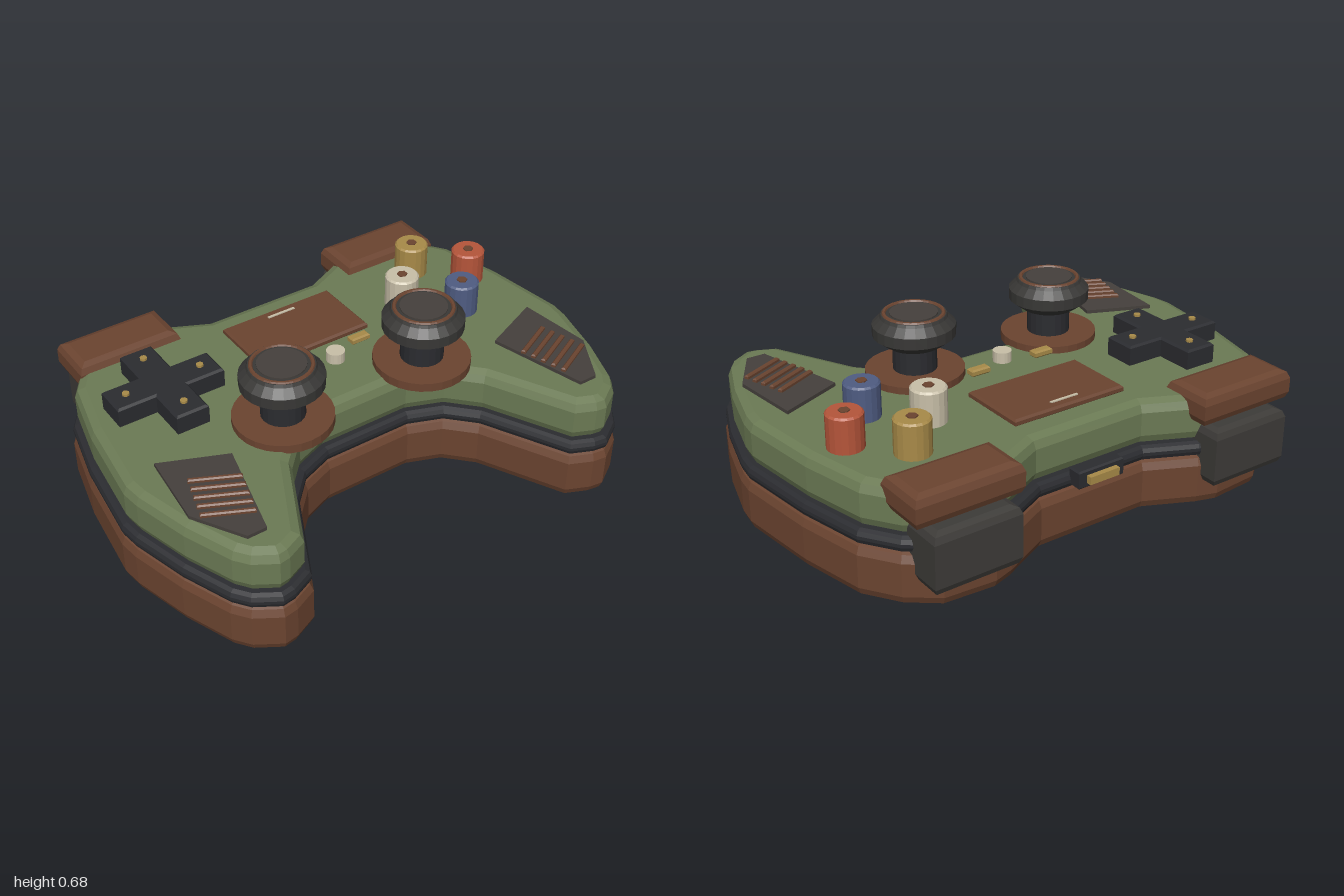
import * as THREE from 'three';

const mat = (color) => new THREE.MeshStandardMaterial({ color, flatShading: true });
const M = {
  green: mat(0x6b7a54), brown: mat(0x6b4430), dark: mat(0x2b2c30), grey: mat(0x45403c), cap: mat(0x393836),
  cream: mat(0xc8bfa8), red: mat(0xb5553a), blue: mat(0x4f5c82), gold: mat(0xa88a48), trigger: mat(0x3d3b38),
};

// Right half of the body outline as [x, z], from back centre to front centre
const HALF = [
  [0.23, -0.575], [0.42, -0.665], [0.5, -0.69], [0.7, -0.675], [0.81, -0.59], [0.9, -0.46], [0.96, -0.2],
  [1.0, 0.13], [0.99, 0.21], [0.93, 0.43], [0.855, 0.62], [0.81, 0.68], [0.715, 0.738], [0.66, 0.73],
  [0.57, 0.69], [0.405, 0.36], [0.31, 0.26], [0.18, 0.21],
];

export function createModel() {
  const model = new THREE.Group();
  model.name = 'gameController';

  const add = (name, geometry, material, x = 0, y = 0, z = 0, parent = model) => {
    const mesh = new THREE.Mesh(geometry, material);
    mesh.name = name;
    mesh.position.set(x, y, z);
    parent.add(mesh);
    return mesh;
  };

  // Extrudes an [x, z] outline upwards from y0 to y1 with rounded edges
  const slab = (points, y0, y1, bevel = 0, inset = 0, steps = 2) => {
    const shape = new THREE.Shape(points.map(([x, z]) => new THREE.Vector2(x, -z)));
    const g = new THREE.ExtrudeGeometry(shape, {
      depth: y1 - y0 - 2 * bevel, bevelEnabled: bevel > 0, bevelThickness: bevel,
      bevelSize: bevel, bevelOffset: -bevel - inset, bevelSegments: steps,
    });
    return g.rotateX(-Math.PI / 2).translate(0, y0 + bevel, 0);
  };
  const rect = (w, d) => [[-w / 2, d / 2], [w / 2, d / 2], [w / 2, -d / 2], [-w / 2, -d / 2]];
  const block = (w, h, d, bevel, steps = 2) => slab(rect(w, d), -h / 2, h / 2, bevel, 0, steps);
  const disc = (r, h, n = 20) => new THREE.CylinderGeometry(r, r, h, n);

  // Body: lower shell, middle band, upper shell
  const outline = [...HALF, ...HALF.map(([x, z]) => [-x, z]).reverse()].reverse();
  add('lowerShell', slab(outline, 0, 0.207, 0.04), M.brown);
  add('middleBand', slab(outline, 0.203, 0.26, 0.022, 0.005), M.dark);
  add('upperShell', slab(outline, 0.255, 0.43, 0.042, 0.028), M.green);

  // Touch panel with light strip
  add('touchPanel', block(0.485, 0.03, 0.285, 0.008, 1), M.brown, 0, 0.44, -0.292);
  add('panelLight', new THREE.BoxGeometry(0.12, 0.006, 0.01), M.cream, 0, 0.456, -0.395);

  // Small centre buttons
  for (const x of [-0.145, 0.14]) add('menuButton', block(0.08, 0.027, 0.037, 0.006, 1), M.gold, x, 0.477, -0.065);
  add('homeButton', disc(0.036, 0.042, 16), M.cream, 0, 0.484, -0.016);

  // Direction pad: a plus-shaped block with four dots
  const pad = new THREE.Group();
  pad.name = 'directionPad';
  pad.position.set(-0.62, 0, -0.215);
  model.add(pad);
  const a = 0.065, b = 0.217;
  const plus = [[a, b], [a, a], [b, a], [b, -a], [a, -a], [a, -b], [-a, -b], [-a, -a], [-b, -a], [-b, a], [-a, a], [-a, b]];
  add('padCross', slab(plus, 0.42, 0.507, 0.008, 0, 1), M.dark, 0, 0, 0, pad);
  for (let i = 0; i < 4; i++) {
    const t = i * Math.PI / 2;
    add('padDot', disc(0.014, 0.014, 8), M.gold, 0.152 * Math.cos(t), 0.509, 0.152 * Math.sin(t), pad);
  }

  // Four action buttons with a centre pin
  const actions = [[0.455, -0.217, M.cream], [0.625, -0.383, M.gold], [0.787, -0.217, M.red], [0.625, -0.052, M.blue]];
  const buttonProfile = [[0, 0.42], [0.067, 0.42], [0.067, 0.558], [0.06, 0.565], [0, 0.565]]
    .map(([r, y]) => new THREE.Vector2(r, y));
  for (const [x, z, m] of actions) {
    add('actionButton', new THREE.LatheGeometry(buttonProfile, 18), m, x, 0, z);
    add('buttonPin', disc(0.021, 0.01, 6), M.brown, x, 0.564, z);
  }

  // Thumb sticks
  const capProfile = [[0, 0.555], [0.105, 0.555], [0.155, 0.592], [0.156, 0.635], [0.127, 0.664], [0.122, 0.675], [0, 0.675]]
    .map(([r, y]) => new THREE.Vector2(r, y));
  for (const x of [-0.33, 0.29]) {
    const stick = new THREE.Group();
    stick.name = 'thumbStick';
    stick.position.set(x, 0, 0.135);
    model.add(stick);
    add('stickBase', disc(0.187, 0.035, 28), M.brown, 0, 0.44, 0, stick);
    add('stickStem', disc(0.083, 0.14, 20), M.dark, 0, 0.5, 0, stick);
    add('stickCap', new THREE.LatheGeometry(capProfile, 24), M.cap, 0, 0, 0, stick);
    add('stickRing', new THREE.TorusGeometry(0.11, 0.009, 6, 28).rotateX(Math.PI / 2), M.brown, 0, 0.673, 0, stick);
    add('stickTop', disc(0.09, 0.012, 24), M.grey, 0, 0.674, 0, stick);
  }

  // Mirrored parts: grip pads with ridges, bumpers and triggers
  for (const s of [-1, 1]) {
    const grip = [[0.837, 0.105], [0.588, 0.21], [0.683, 0.59], [0.757, 0.59], [0.868, 0.4]].map(([x, z]) => [s * x, z]);
    add('gripPad', slab(grip, 0.42, 0.444), M.grey);
    for (let i = 0; i < 5; i++) {
      const k = i / 4;
      const ridge = add('gripRidge', block(0.188, 0.02, 0.018, 0.005, 1), M.brown,
        s * (0.705 + 0.05 * k), 0.448, 0.295 + 0.17 * k);
      ridge.rotation.y = s * 0.45;
    }
    add('bumper', block(0.425, 0.125, 0.208, 0.035), M.brown, s * 0.607, 0.402, -0.601);
    add('trigger', block(0.345, 0.232, 0.165, 0.033), M.trigger, s * 0.602, 0.215, -0.6575);
  }

  // Rear port
  add('portFrame', block(0.2, 0.07, 0.055, 0.006, 1), M.dark, 0, 0.25, -0.588);
  add('portContact', new THREE.BoxGeometry(0.13, 0.03, 0.03), M.gold, 0, 0.25, -0.622);

  return model;
}
